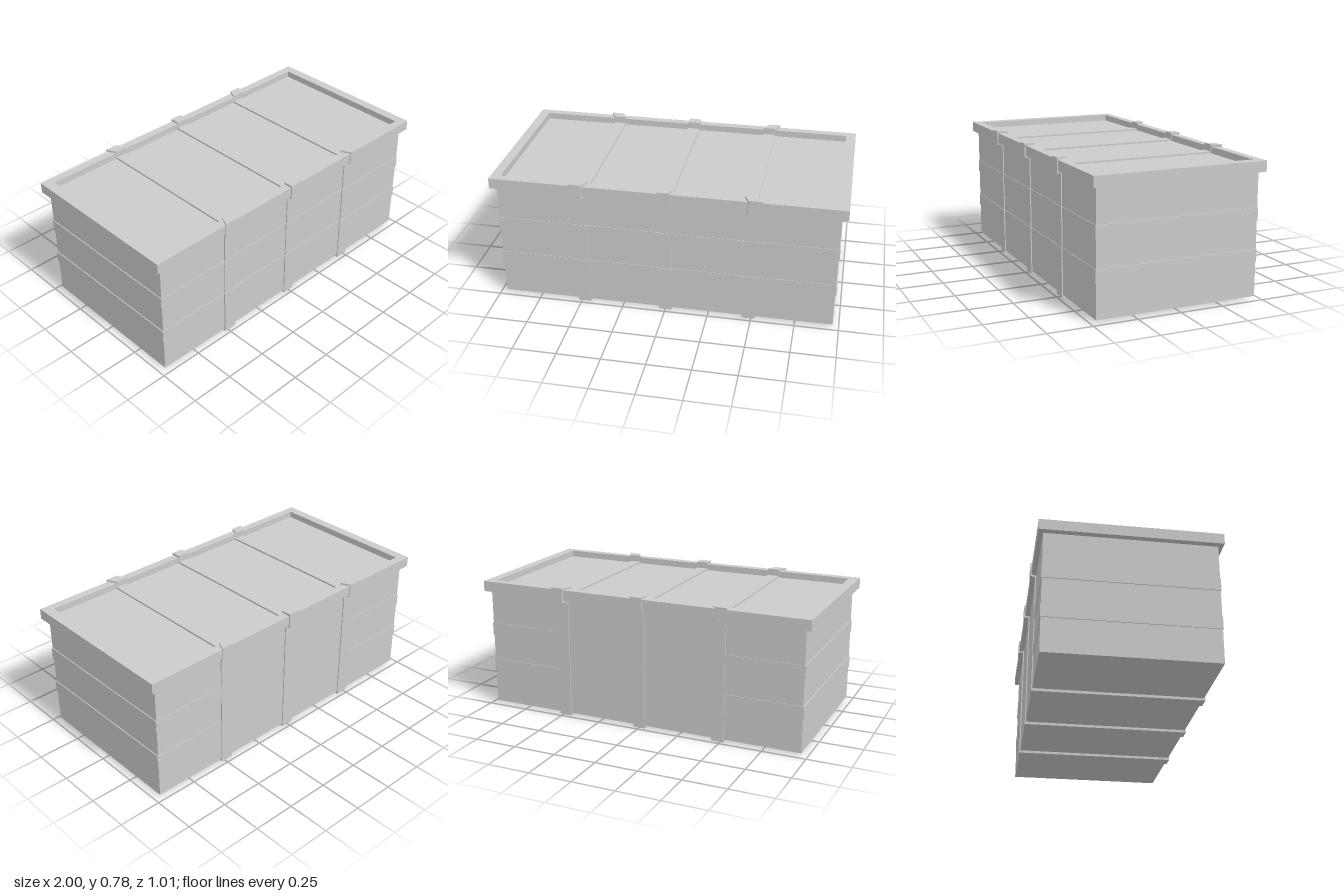
import * as THREE from 'three';

const material = new THREE.MeshStandardMaterial({ color: 0xcccccc, flatShading: true });

export function createModel() {
  const group = new THREE.Group();

  const add = (name, geometry) => {
    const mesh = new THREE.Mesh(geometry, material);
    mesh.name = name;
    group.add(mesh);
    return mesh;
  };

  // Box given by its lower and upper limits on each axis
  const block = (name, [x0, x1], [y0, y1], [z0, z1]) => {
    const g = new THREE.BoxGeometry(x1 - x0, y1 - y0, z1 - z0);
    g.translate((x0 + x1) / 2, (y0 + y1) / 2, (z0 + z1) / 2);
    return add(name, g);
  };

  // Crate body and recessed lid panel
  block('body', [-0.965, 0.965], [0.015, 0.71], [-0.47, 0.47]);
  block('lidPanel', [-0.95, 0.95], [0.708, 0.73], [-0.455, 0.455]);

  // Raised lid rim: a rectangular frame
  const rim = new THREE.Shape([[-1, -0.497], [1, -0.497], [1, 0.497], [-1, 0.497]]
    .map(([x, y]) => new THREE.Vector2(x, y)));
  rim.holes.push(new THREE.Path([[-0.943, -0.449], [-0.943, 0.449], [0.943, 0.449], [0.943, -0.449]]
    .map(([x, y]) => new THREE.Vector2(x, y))));
  const rimGeometry = new THREE.ExtrudeGeometry(rim, { depth: 0.061, bevelEnabled: false });
  rimGeometry.rotateX(-Math.PI / 2).translate(0, 0.707, 0);
  add('lidRim', rimGeometry);

  // Two shallow bands round the front and ends, and the outer parts of the back
  for (const y of [0.21, 0.438]) {
    const h = [y, y + 0.073];
    block('frontBand', [-0.968, 0.968], h, [0.46, 0.473]);
    for (const s of [-1, 1]) {
      const span = (a, b) => (s > 0 ? [a, b] : [-b, -a]);
      block('endBand', span(0.95, 0.97), h, [-0.472, 0.472]);
      block('backBand', span(0.52, 0.968), h, [-0.473, -0.46]);
    }
  }

  // Three straps round the crate, with clips over the rim
  for (const s of [-1, 0, 1]) {
    const x = s * 0.483;
    const across = [x - 0.037, x + 0.037];
    block('bottomStrap', across, [0, 0.02], [-0.475, 0.475]);
    block('topStrap', [s * 0.473 - 0.035, s * 0.473 + 0.035], [0.72, 0.74], [-0.455, 0.455]);

    for (const side of [-1, 1]) {
      const zs = (a, b) => (side > 0 ? [a, b] : [-b, -a]);
      block('sideStrap', across, [0, 0.71], zs(0.46, 0.476));

      // Outer clips slant away from the middle towards the rim edge
      const clip = block('rimClip', [-0.036, 0.036], [0.695, 0.78], zs(0.446, 0.504));
      const p = clip.geometry.attributes.position;
      for (let i = 0; i < p.count; i++) {
        const t = (Math.abs(p.getZ(i)) - 0.446) / 0.058;
        p.setX(i, p.getX(i) + s * (0.473 + 0.028 * t));
      }
      clip.geometry.computeVertexNormals();
    }

    // Small raised sleeves where the bands cross the front straps
    for (const y of [0.2, 0.432]) {
      block('strapSleeve', [x - 0.042, x + 0.042], [y, y + 0.08], [0.46, 0.479]);
    }
  }

  return group;
}
